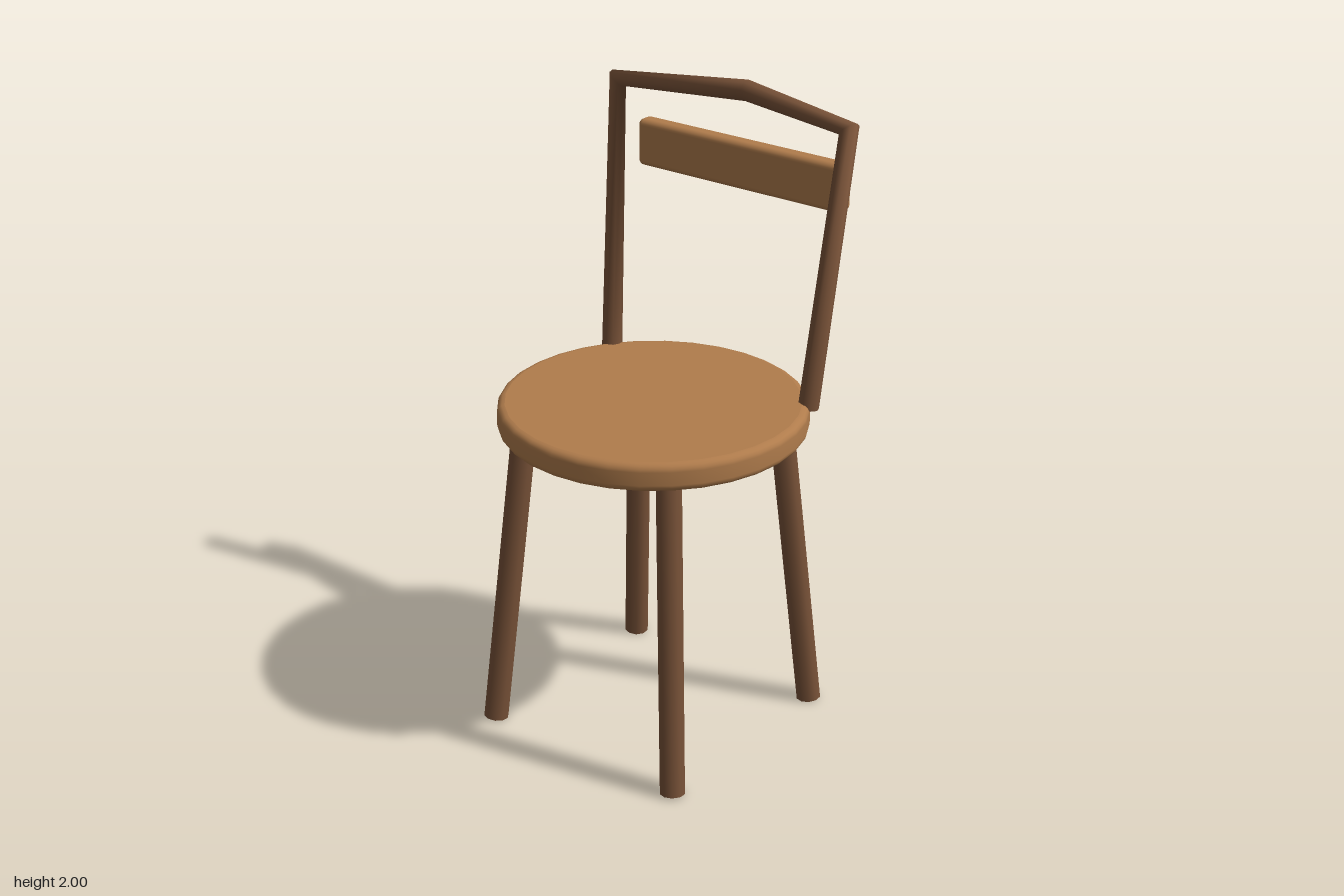
import * as THREE from 'three';
import { RoundedBoxGeometry } from 'three/addons/geometries/RoundedBoxGeometry.js';

const lightWood = new THREE.MeshStandardMaterial({ color: 0xb07c4c });
lightWood.name = 'light wood';
const darkWood = new THREE.MeshStandardMaterial({ color: 0x785238 });
darkWood.name = 'dark wood';

const v = (x, y, z) => new THREE.Vector3(x, y, z);

// Straight-sided path whose rings sit on the corner bisectors
class Polyline extends THREE.Curve {
  constructor(points) {
    super();
    this.points = points;
  }
  getPoint(t, target = new THREE.Vector3()) {
    const n = this.points.length - 1;
    const i = Math.min(Math.floor(t * n + 1e-9), n - 1);
    return target.lerpVectors(this.points[i], this.points[i + 1], t * n - i);
  }
  getPointAt(t, target) {
    return this.getPoint(t, target);
  }
  getTangentAt(t, target = new THREE.Vector3()) {
    const p = this.points, n = p.length - 1, i = Math.round(t * n);
    const dir = (a, b) => b.clone().sub(a).normalize();
    target.set(0, 0, 0);
    if (i > 0) target.add(dir(p[i - 1], p[i]));
    if (i < n) target.add(dir(p[i], p[i + 1]));
    return target.normalize();
  }
}

function addMesh(parent, name, geometry, material) {
  const mesh = new THREE.Mesh(geometry, material);
  mesh.name = name;
  parent.add(mesh);
  return mesh;
}

// Round rod between two points
function addRod(parent, name, a, b, radius, sides) {
  const d = b.clone().sub(a);
  const rod = addMesh(parent, name, new THREE.CylinderGeometry(radius, radius, d.length(), sides), darkWood);
  rod.position.copy(a).addScaledVector(d, 0.5);
  rod.quaternion.setFromUnitVectors(v(0, 1, 0), d.normalize());
}

export function createModel() {
  const chair = new THREE.Group();
  chair.name = 'chair';
  const zc = 0.006;

  // Round seat with softened rims
  const R = 0.48, low = 1.01, high = 1.1, bevel = 0.024;
  const profile = [new THREE.Vector2(0, low), new THREE.Vector2(R - bevel, low)];
  for (const [cy, start] of [[low + bevel, -90], [high - bevel, 0]]) {
    for (let i = 0; i <= 4; i++) {
      const a = THREE.MathUtils.degToRad(start + i * 22.5);
      profile.push(new THREE.Vector2(R - bevel + bevel * Math.cos(a), cy + bevel * Math.sin(a)));
    }
  }
  profile.push(new THREE.Vector2(R - bevel, high), new THREE.Vector2(0, high));
  const seat = addMesh(chair, 'seat', new THREE.LatheGeometry(profile, 32), lightWood);
  seat.position.z = zc;

  // Four splayed legs
  for (const sx of [-1, 1]) {
    for (const sz of [-1, 1]) {
      const name = (sz > 0 ? 'front' : 'back') + (sx > 0 ? 'LeftLeg' : 'RightLeg');
      addRod(chair, name, v(sx * 0.362, 0.005, zc + sz * 0.362), v(sx * 0.28, 1.03, zc + sz * 0.28), 0.04, 10);
    }
  }

  // Posts and top rail bent from one rod
  const foot = (s) => v(s * 0.388, 1.08, -0.267);
  const corner = (s) => v(s * 0.436, 1.949, -0.364);
  const path = new Polyline([foot(-1), corner(-1), v(0, 1.967, -0.453), corner(1), foot(1)]);
  addMesh(chair, 'backFrame', new THREE.TubeGeometry(path, 4, 0.033, 8, false), darkWood);

  // Closed ends under the posts
  for (const s of [-1, 1]) {
    const cap = addMesh(chair, 'postEnd', new THREE.CircleGeometry(0.033, 8), darkWood);
    cap.position.copy(foot(s));
    cap.quaternion.setFromUnitVectors(v(0, 0, 1), foot(s).sub(corner(s)).normalize());
  }

  // Backrest slat
  const slat = addMesh(chair, 'backrest', new RoundedBoxGeometry(0.78, 0.152, 0.062, 3, 0.019), lightWood);
  slat.position.set(0, 1.74, -0.432);

  return chair;
}
